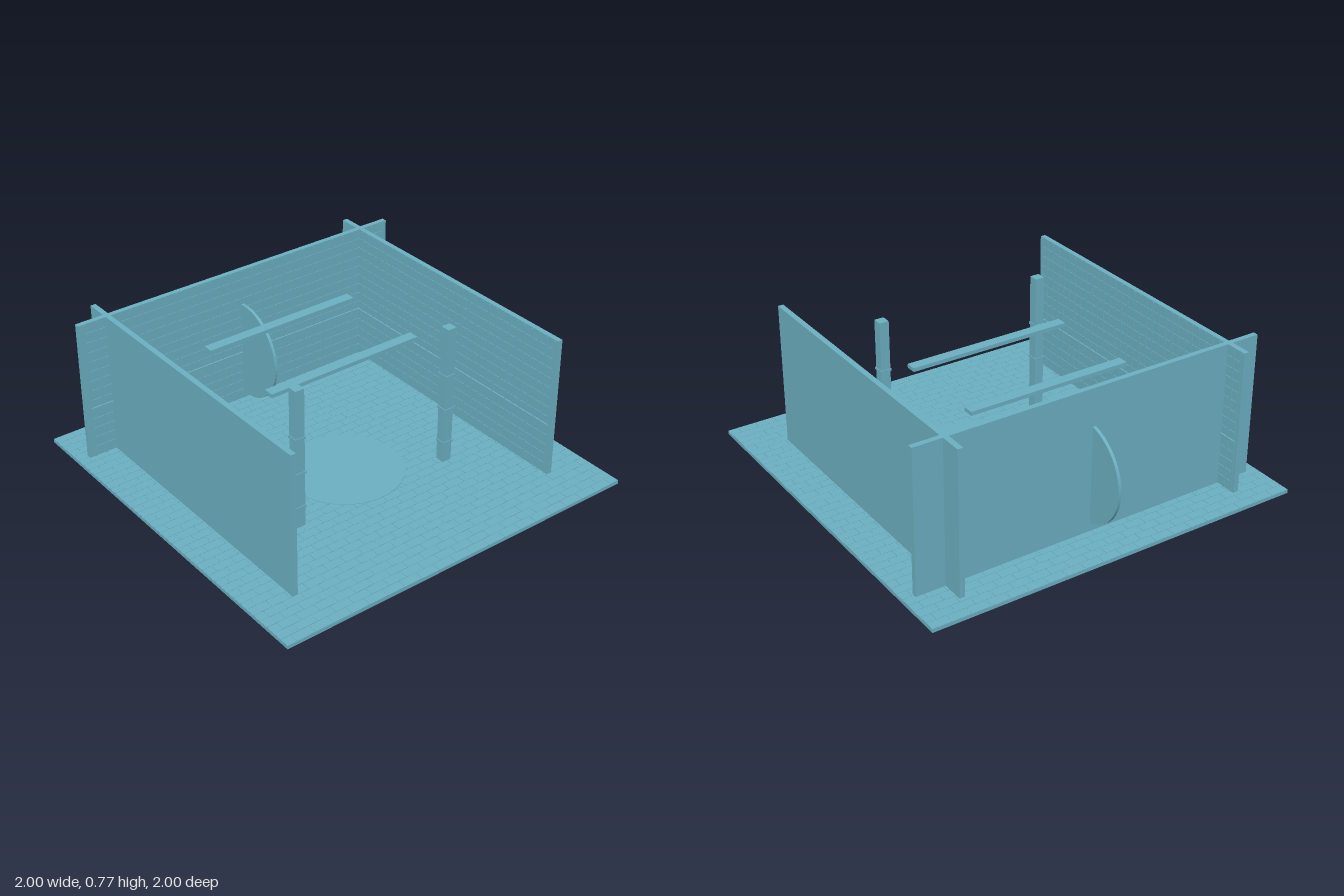
import * as THREE from 'three';
import { mergeGeometries } from 'three/addons/utils/BufferGeometryUtils.js';

const material = new THREE.MeshStandardMaterial({ color: 0x6cb0c2, flatShading: true });

const mesh = (name, geometry) => {
  const m = new THREE.Mesh(geometry, material);
  m.name = name;
  return m;
};

// Box given by its minimum and maximum corners
const span = (x0, x1, y0, y1, z0, z1) =>
  new THREE.BoxGeometry(x1 - x0, y1 - y0, z1 - z0)
    .translate((x0 + x1) / 2, (y0 + y1) / 2, (z0 + z1) / 2);

// Low-relief lattice in the xy plane, facing +z, with a thicker middle rail
function lattice(x0, x1, columns) {
  const parts = [];
  for (let i = 0; i <= columns; i++) {
    const x = x0 + 0.004 + ((x1 - x0 - 0.008) * i) / columns;
    parts.push(span(x - 0.004, x + 0.004, 0.02, 0.765, -0.001, 0.004));
  }
  for (let j = 1; j < 14; j++) {
    const y = 0.02 + (0.75 * j) / 14;
    parts.push(span(x0, x1, y - 0.002, y + 0.002, -0.001, 0.003));
  }
  parts.push(span(x0, x1, 0.285, 0.3, -0.001, 0.008));
  return mergeGeometries(parts);
}

export function createModel() {
  const group = new THREE.Group();
  group.name = 'room';

  // Floor slab covered with staggered tiles
  group.add(mesh('floorSlab', span(-1, 1, 0, 0.018, -1, 1)));
  const tiles = [];
  const length = 0.1, depth = 0.05, gap = 0.001;
  for (let row = 0; row < 40; row++) {
    const z = -1 + row * depth;
    const shift = row % 2 ? -length / 2 : 0;
    for (let x = -1 + shift; x < 0.999; x += length) {
      const a = Math.max(-1, x), b = Math.min(1, x + length);
      tiles.push(span(a + gap, b - gap, 0.017, 0.02, z + gap, z + depth - gap));
    }
  }
  group.add(mesh('floorTiles', mergeGeometries(tiles)));

  // Round mat
  group.add(mesh('roundMat', new THREE.CylinderGeometry(0.3, 0.3, 0.006, 64).translate(0, 0.02, 0.11)));

  // Back wall with its lattice
  group.add(mesh('backWall', span(-0.94, 0.94, 0.015, 0.77, -0.765, -0.738)));
  group.add(mesh('backLattice', lattice(-0.91, 0.91, 28).translate(0, 0, -0.738)));

  for (const side of [-1, 1]) {
    const label = side > 0 ? 'left' : 'right';

    // Side walls, lattice on the inner face
    group.add(mesh(label + 'Wall',
      new THREE.BoxGeometry(0.028, 0.755, 1.63).translate(side * 0.774, 0.3925, -0.065)));
    const screen = lattice(-0.8, 0.8, 32).rotateY(-side * Math.PI / 2);
    group.add(mesh(label + 'Lattice', screen.translate(side * 0.76, 0, -0.065)));

    // Front posts with bands
    const post = [new THREE.BoxGeometry(0.05, 0.755, 0.05).translate(0, 0.3925, 0)];
    for (const y of [0.13, 0.32, 0.51]) {
      post.push(new THREE.BoxGeometry(0.058, 0.012, 0.058).translate(0, y, 0));
    }
    group.add(mesh(label + 'Post', mergeGeometries(post).translate(side * 0.45, 0, 0.335)));
  }

  // Cross beams
  for (const z of [-0.403, 0.097]) {
    group.add(mesh('crossBeam', span(-0.435, 0.435, 0.605, 0.625, z - 0.0275, z + 0.0275)));
  }

  // Upright disc passing through the back wall
  group.add(mesh('uprightDisc',
    new THREE.CylinderGeometry(0.26, 0.26, 0.016, 64).rotateZ(Math.PI / 2).translate(0, 0.32, -0.709)));

  return group;
}
